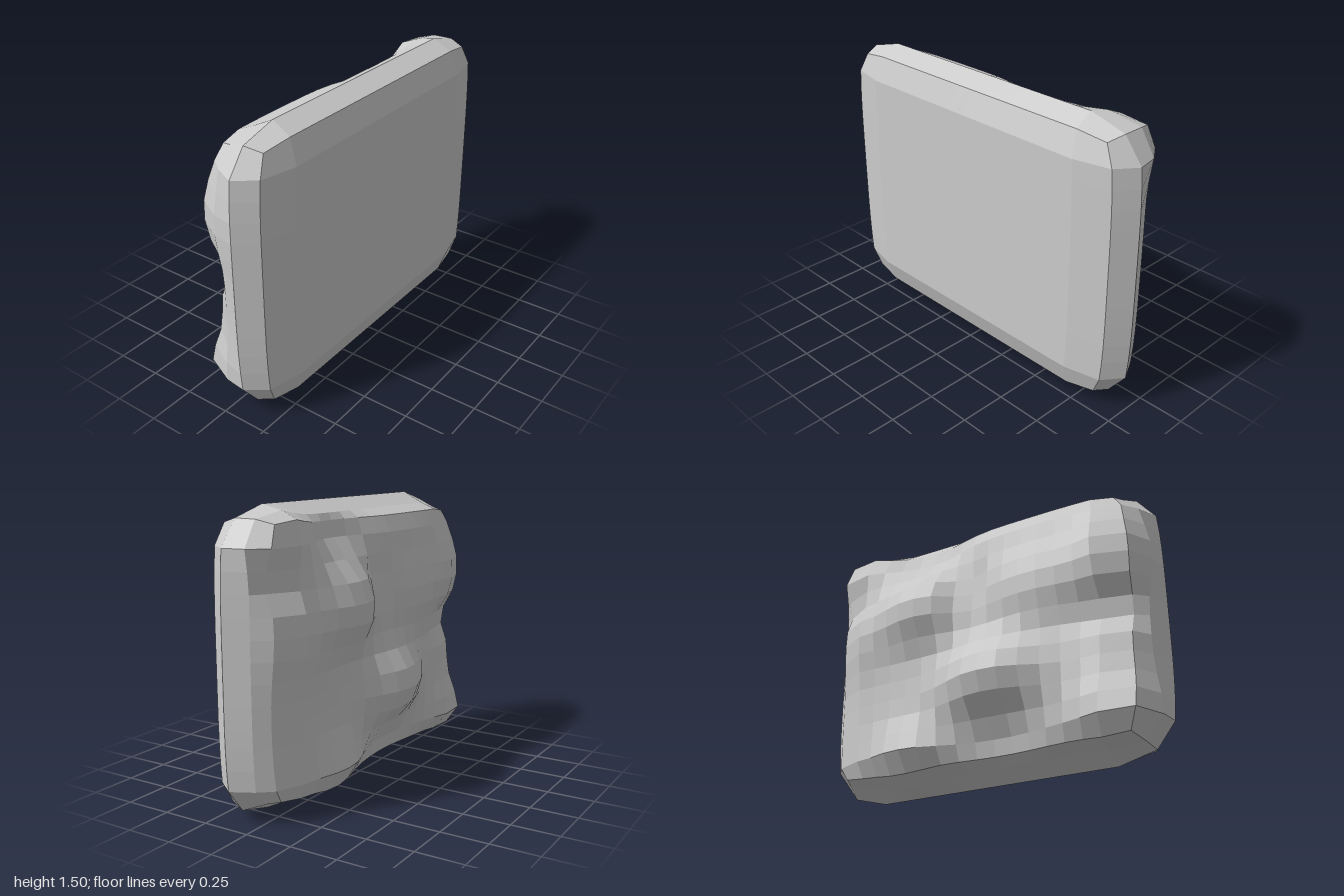
import * as THREE from 'three';

// Relief of the rough back: x, y, depth change, x radius, y radius
const BUMPS = [
  [-0.11, 0.50, 0.13, 0.28, 0.19],
  [0.33, 0.98, 0.11, 0.25, 0.19],
  [-0.82, 0.22, 0.06, 0.22, 0.17],
  [-0.95, 0.14, 0.06, 0.16, 0.15],
  [0.40, 0.16, 0.06, 0.20, 0.16],
  [-0.82, 1.06, 0.07, 0.22, 0.20],
  [-0.80, 1.36, -0.03, 0.22, 0.11],
  [-0.35, 0.98, 0.06, 0.26, 0.22],
  [0.75, 0.88, 0.035, 0.20, 0.20],
  [0.80, 1.40, 0.02, 0.18, 0.13],
  [0.32, 1.40, -0.11, 0.28, 0.18],
  [0.95, 1.15, -0.07, 0.20, 0.10],
  [-0.88, 0.74, -0.07, 0.30, 0.11],
  [-0.15, 0.14, -0.06, 0.28, 0.17],
  [1.00, 0.50, -0.05, 0.17, 0.55],
  [0.04, 1.05, -0.04, 0.11, 0.16],
];

// Places where the rim stays full instead of tapering to the back
const RIM_LUMPS = [
  [0.85, 1.42, 1, 0.25, 0.20],
  [-0.92, 0.15, 0.8, 0.25, 0.22],
  [0.42, 0.05, 0.6, 0.18, 0.20],
  [-0.95, 1.05, 0.7, 0.20, 0.20],
];

const lumps = (list, x, y) => list.reduce((sum, [bx, by, amount, rx, ry]) =>
  sum + amount * Math.exp(-(Math.hypot((x - bx) / rx, (y - by) / ry) ** 2.5)), 0);

const BACK = 0.13, TAPER = 0.06;

// Grid stations: one row in each rounded border, even rows between
function stations(half, radius, inner) {
  const flat = half - radius;
  const list = [-half];
  for (let i = 0; i <= inner; i++) list.push(-flat + (2 * flat * i) / inner);
  return [...list, half];
}

// Signed position within the rounded border, 0 on the flat part
const border = (v, half, r) => Math.sign(v) * Math.max(0, Math.abs(v) - (half - r)) / r;

// One shared normal per four-sided facet
function facetNormals(geo) {
  const flat = geo.toNonIndexed();
  flat.computeVertexNormals();
  const normal = flat.attributes.normal;
  const a = new THREE.Vector3();
  const b = new THREE.Vector3();
  for (let i = 0; i < normal.count; i += 6) {
    a.fromBufferAttribute(normal, i);
    a.add(b.fromBufferAttribute(normal, i + 3)).normalize();
    for (let j = 0; j < 6; j++) normal.setXYZ(i + j, a.x, a.y, a.z);
  }
  return flat;
}

function slabGeometry() {
  const W = 1, H = 0.7525, RX = 0.28, RY = 0.18, FRONT = 0.265, RZ = 0.15;
  const xs = stations(W, RX, 14);
  const ys = stations(H, RY, 11);
  const zs = [-BACK, 0, FRONT - RZ, FRONT];
  const [nx, ny, nz] = [xs, ys, zs].map((a) => a.length - 1);
  const geo = new THREE.BoxGeometry(nx, ny, nz, nx, ny, nz);
  const pos = geo.attributes.position;

  for (let i = 0; i < pos.count; i++) {
    let x = xs[Math.round(pos.getX(i) + nx / 2)];
    let y = ys[Math.round(pos.getY(i) + ny / 2)];
    let z = zs[Math.round(pos.getZ(i) + nz / 2)];

    // Round the borders elliptically, with a single chamfer facet
    const dx = border(x, W, RX);
    const dy = border(y, H, RY);
    const rz = z < 0 ? BACK : RZ;
    const dz = z < 0 ? z / BACK : Math.max(0, z - (FRONT - RZ)) / RZ;
    const scale = 1 / (Math.hypot(dx, dy, dz) || 1);
    x += dx * (scale - 1) * RX;
    y += dy * (scale - 1) * RY;
    z += dz * (scale - 1) * rz;

    // Draw the sides in slightly at top and bottom
    x *= 1 - 0.05 * (y / H) ** 4;
    y += H;

    // Push the back out into lumps and taper the rim behind the front half
    if (z < 0) z *= 1 + lumps(BUMPS, x, y) / BACK;
    if (z <= 0) {
      const taper = TAPER * scale * Math.max(0, 1 - lumps(RIM_LUMPS, x, y));
      x -= dx * taper;
      y -= dy * taper;
    }
    pos.setXYZ(i, x, y, z);
  }
  return facetNormals(geo);
}

export function createModel() {
  const group = new THREE.Group();
  group.name = 'rockSlab';
  const slab = new THREE.Mesh(
    slabGeometry(),
    new THREE.MeshStandardMaterial({ color: 0xcccccc }),
  );
  slab.name = 'slab';
  group.add(slab);
  return group;
}
